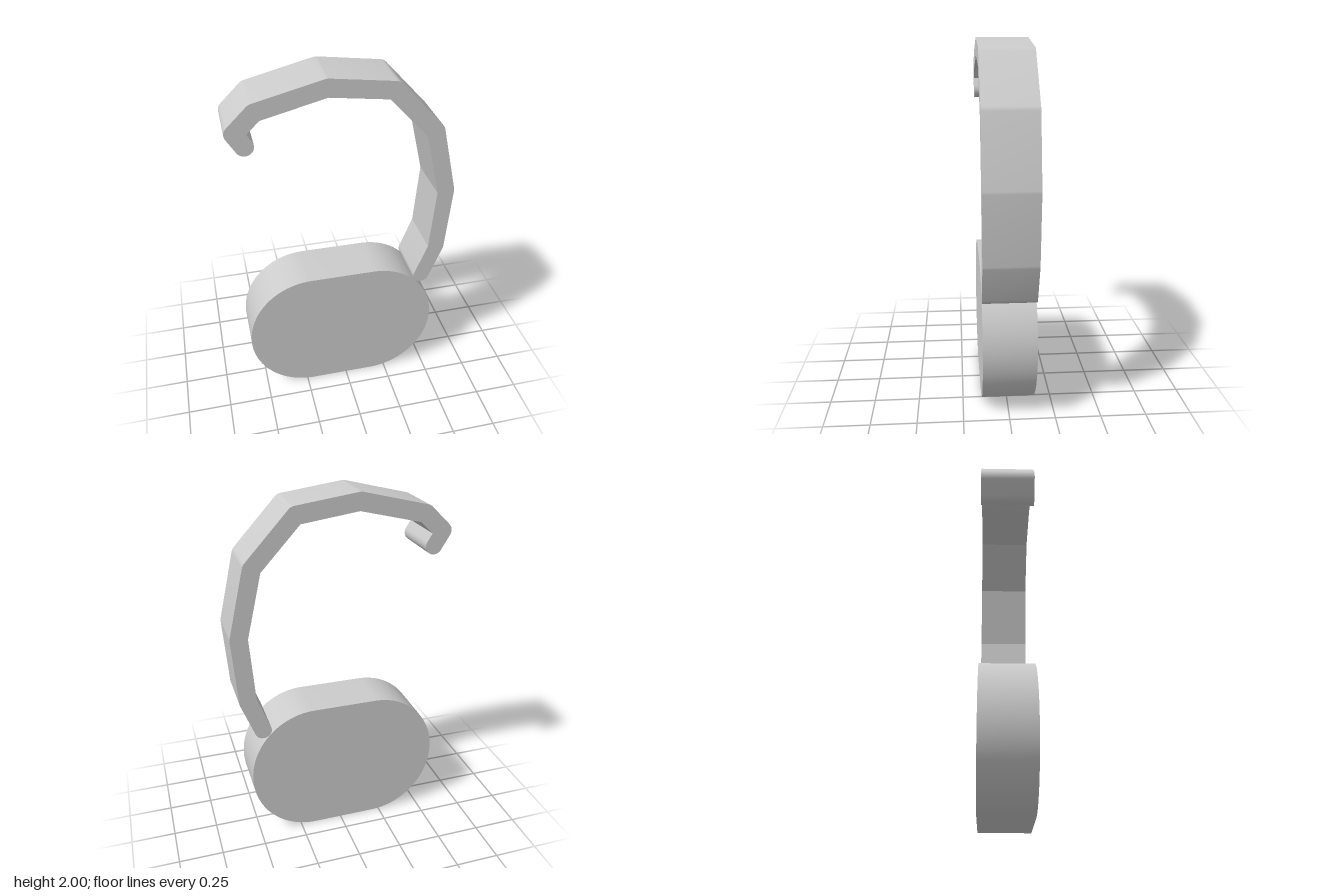
import * as THREE from 'three';
import { toCreasedNormals } from 'three/addons/utils/BufferGeometryUtils.js';

const DEPTH = 0.29;
const R = 0.048; // half thickness of the hooked band

// Extrude a flat outline, centred on z = 0
function slab(name, shape) {
  const geo = new THREE.ExtrudeGeometry(shape, { depth: DEPTH, bevelEnabled: false, curveSegments: 24 });
  geo.translate(0, 0, -DEPTH / 2);
  const mesh = new THREE.Mesh(toCreasedNormals(geo, 0.25), new THREE.MeshStandardMaterial({ color: 0xcccccc }));
  mesh.name = name;
  return mesh;
}

// Right-hand edge of a thick path: rounded outer joins, mitred inner joins, round end cap
function edge(path) {
  const out = [];
  const add = (c, a, r) => out.push(new THREE.Vector2(c.x + r * Math.cos(a), c.y + r * Math.sin(a)));
  const arc = (c, from, sweep) => {
    const n = Math.max(2, Math.ceil(sweep / 0.2));
    for (let k = 0; k <= n; k++) add(c, from + (sweep * k) / n, R);
  };
  const heading = (i) => Math.atan2(path[i + 1].y - path[i].y, path[i + 1].x - path[i].x);
  for (let i = 1; i < path.length - 1; i++) {
    const a = heading(i - 1);
    const d = heading(i) - a;
    const turn = Math.atan2(Math.sin(d), Math.cos(d));
    if (turn > 0) arc(path[i], a - Math.PI / 2, turn);
    else add(path[i], a + turn / 2 - Math.PI / 2, R / Math.cos(turn / 2));
  }
  arc(path[path.length - 1], heading(path.length - 2) - Math.PI / 2, Math.PI);
  return out;
}

export function createModel() {
  const group = new THREE.Group();
  group.name = 'hookedBody';

  // Rounded body
  const body = new THREE.Shape();
  body.absellipse(0.16, 0.395, 0.37, 0.395, -Math.PI / 2, Math.PI / 2, false);
  body.absellipse(-0.208, 0.395, 0.37, 0.395, Math.PI / 2, Math.PI * 1.5, false);
  group.add(slab('body', body));

  // Bent band rising from the body and curling over into a hook
  const path = [
    [0.455, 0.712], [0.53, 0.907], [0.558, 1.283], [0.471, 1.656], [0.239, 1.907],
    [-0.098, 1.952], [-0.458, 1.863], [-0.562, 1.762], [-0.516, 1.686],
  ].map(([x, y]) => new THREE.Vector2(x, y));
  const band = new THREE.Shape([...edge(path), ...edge([...path].reverse())]);
  group.add(slab('hookBand', band));

  return group;
}
